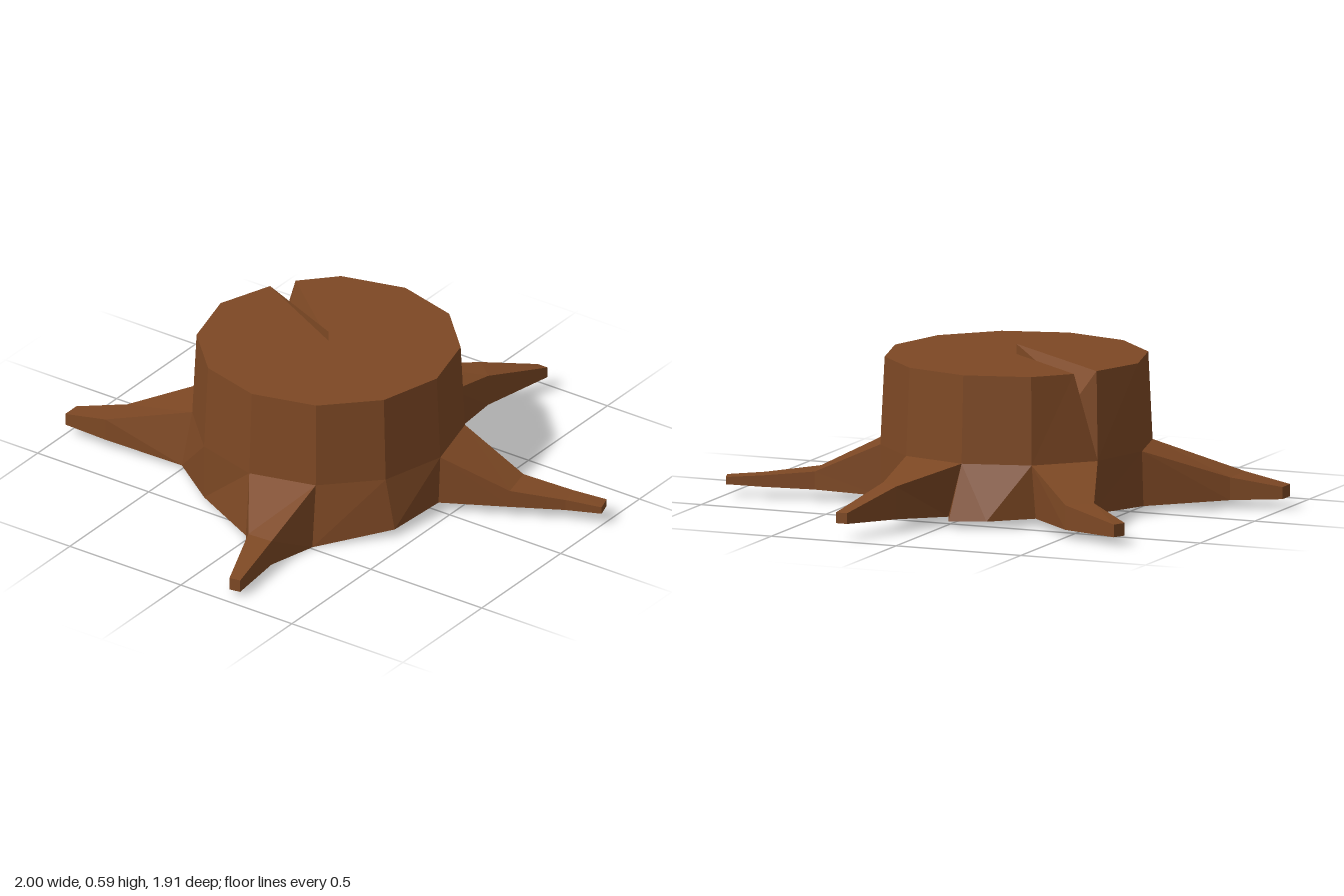
import * as THREE from 'three';

export function createModel() {
  const model = new THREE.Group();
  const bark = new THREE.MeshStandardMaterial({ color: 0x7d4824, flatShading: true, side: THREE.DoubleSide });
  bark.name = 'brown bark';

  // Builds a mesh from flat polygons, each a list of [x, y, z] corners
  function addPart(name, polygons) {
    const pos = [];
    for (const p of polygons)
      for (let k = 1; k < p.length - 1; k++) pos.push(...p[0], ...p[k], ...p[k + 1]);
    const geo = new THREE.BufferGeometry();
    geo.setAttribute('position', new THREE.Float32BufferAttribute(pos, 3));
    geo.computeVertexNormals();
    const mesh = new THREE.Mesh(geo, bark);
    mesh.name = name;
    model.add(mesh);
  }

  // Trunk rings: regular rim and waist, irregular foot
  const N = 12, CX = -0.045, TOP = 0.555;
  const ring = (r, y) => Array.from({ length: N }, (_, i) => {
    const a = (i * Math.PI * 2) / N;
    return [CX + r * Math.cos(a), y, r * Math.sin(a)];
  });
  const rim = ring(0.487, TOP);
  const waist = ring(0.503, 0.228);
  const foot = [
    [0.45, 0.035, 0], [0.43, 0.03, 0.25], [0.23, 0, 0.49], [-0.02, 0, 0.56],
    [-0.3, 0.01, 0.43], [-0.5, 0.015, 0.29], [-0.545, 0.02, 0.02], [-0.46, 0.03, -0.27],
    [-0.31, 0.03, -0.43], [0, 0.03, -0.52], [0.19, 0.03, -0.45], [0.39, 0.035, -0.25],
  ];

  // Split in the trunk, at rim corner 7
  const splitA = [-0.458, TOP, -0.21], splitB = [-0.405, TOP, -0.297];
  const splitFloor = [-0.4, 0.46, -0.25];
  const centre = [CX, TOP, 0], peak = [CX, 0.593, 0];

  const walls = [];
  for (let i = 0; i < N; i++) {
    const j = (i + 1) % N;
    if (i === 6) walls.push([rim[6], splitA, waist[7], waist[6]]);
    else if (i === 7) walls.push([splitB, rim[8], waist[8], waist[7]]);
    else walls.push([rim[i], rim[j], waist[j], waist[i]]);
    walls.push([waist[i], waist[j], foot[j], foot[i]]);
  }
  addPart('trunk', walls);

  // Cut top, running round from one side of the split to the other
  const edge = [splitB];
  for (let i = 8; i <= 18; i++) edge.push(rim[i % N]);
  edge.push(splitA);
  addPart('cutTop', edge.slice(1).map((p, k) => [centre, p, edge[k]]));

  addPart('split', [
    [peak, splitFloor, splitA],
    [centre, splitB, splitFloor],
    [peak, centre, splitFloor],
    [centre, peak, splitA],
    [splitA, splitFloor, waist[7]],
    [splitFloor, splitB, waist[7]],
  ]);

  addPart('underside', foot.map((p, i) => [[CX, 0.02, 0], p, foot[(i + 1) % N]]));

  // Bulge at the foot between the two back roots
  const b1 = [-0.17, 0.03, -0.56], b2 = [-0.04, 0.03, -0.61];
  addPart('footBulge', [
    [waist[8], b1, foot[8]],
    [waist[8], waist[9], b1],
    [waist[9], b2, b1],
    [waist[9], foot[9], b2],
    [foot[8], b1, b2, foot[9]],
  ]);

  // Roots grow from trunk side i; each section is [ax, az, bx, bz, top, bottom]
  const roots = [
    { name: 'frontRoot', i: 2, sections: [
      [0.195, 0.7, 0.094, 0.705, 0.11, 0.012], [0.228, 0.945, 0.185, 0.952, 0.068, 0.02]] },
    { name: 'rightRoot', i: 5, sections: [
      [-0.82, 0.325, -0.82, 0.185, 0.12, 0.035], [-1, 0.325, -1, 0.255, 0.085, 0.04]] },
    { name: 'leftRoot', i: 11, sections: [
      [0.655, -0.25, 0.687, -0.118, 0.107, 0.04], [0.85, -0.29, 0.87, -0.213, 0.085, 0.043],
      [0.98, -0.32, 1, -0.26, 0.075, 0.048]] },
    { name: 'backRoot', i: 9, sections: [
      [0.11, -0.75, 0.19, -0.68, 0.172, 0.05], [0.213, -0.962, 0.258, -0.962, 0.1, 0.06]] },
    { name: 'backRightRoot', i: 7, sections: [
      [-0.59, -0.535, -0.51, -0.615, 0.125, 0.033], [-0.757, -0.636, -0.735, -0.685, 0.08, 0.033]] },
  ];
  for (const { name, i, sections } of roots) {
    const j = (i + 1) % N;
    const loops = [[waist[i], waist[j], foot[j], foot[i]]];
    for (const [ax, az, bx, bz, t, b] of sections)
      loops.push([[ax, t, az], [bx, t, bz], [bx, b, bz], [ax, b, az]]);
    const faces = [];
    for (let s = 0; s < loops.length - 1; s++)
      for (let k = 0; k < 4; k++) {
        const m = (k + 1) % 4;
        faces.push([loops[s][k], loops[s][m], loops[s + 1][m], loops[s + 1][k]]);
      }
    faces.push(loops[loops.length - 1]);
    addPart(name, faces);
  }

  return model;
}
